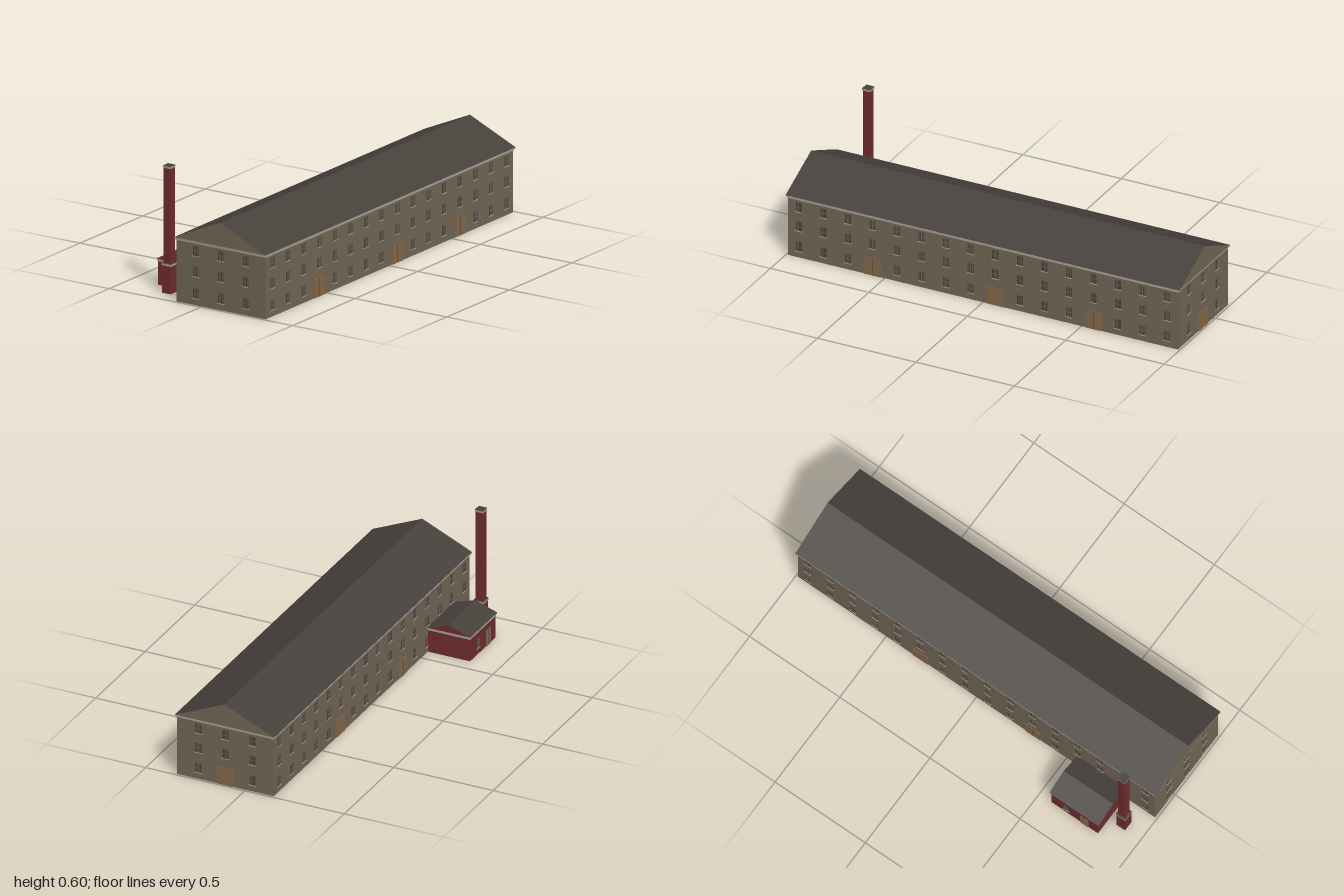
import * as THREE from 'three';
import { mergeGeometries } from 'three/addons/utils/BufferGeometryUtils.js';

const mat = (name, color, side = THREE.FrontSide) => {
  const m = new THREE.MeshStandardMaterial({ color, side });
  m.name = name;
  return m;
};

const box = (w, h, d, x, y, z) => new THREE.BoxGeometry(w, h, d).translate(x, y, z);

// Open-bottomed shell of four thin walls
function wallShell(x0, x1, z0, z1, h) {
  const w = x1 - x0, d = z1 - z0, cx = (x0 + x1) / 2, cz = (z0 + z1) / 2;
  return mergeGeometries([
    new THREE.PlaneGeometry(w, h).translate(cx, h / 2, z1),
    new THREE.PlaneGeometry(w, h).rotateY(Math.PI).translate(cx, h / 2, z0),
    new THREE.PlaneGeometry(d, h).rotateY(Math.PI / 2).translate(x1, h / 2, cz),
    new THREE.PlaneGeometry(d, h).rotateY(-Math.PI / 2).translate(x0, h / 2, cz),
  ]);
}

// Rectangular ring around the walls, pushed out by "out"
function cornice(x0, x1, z0, z1, y0, y1, out) {
  const rect = (C, o) => new C([[x0 - o, -z1 - o], [x1 + o, -z1 - o], [x1 + o, -z0 + o], [x0 - o, -z0 + o]]
    .map(([x, y]) => new THREE.Vector2(x, y)));
  const shape = rect(THREE.Shape, out);
  shape.holes.push(rect(THREE.Path, -0.0005));
  return new THREE.ExtrudeGeometry(shape, { depth: y1 - y0, bevelEnabled: false })
    .rotateX(-Math.PI / 2).translate(0, y0, 0);
}

// Two sloping roof planes
function roofPlanes(x0, x1, z0, z1, eave, ridge) {
  const half = (x1 - x0) / 2, rise = ridge - eave, len = Math.hypot(half, rise), a = Math.atan2(rise, half);
  const slope = (s) => new THREE.PlaneGeometry(len, z1 - z0).rotateX(-Math.PI / 2).rotateZ(-s * a)
    .translate((x0 + x1) / 2 + s * half / 2, (eave + ridge) / 2, (z0 + z1) / 2);
  return mergeGeometries([slope(1), slope(-1)]);
}

// Triangular gables at both ends
function gables(x0, x1, z0, z1, eave, ridge) {
  const tri = () => new THREE.ShapeGeometry(new THREE.Shape([
    new THREE.Vector2(x0, eave), new THREE.Vector2(x1, eave), new THREE.Vector2((x0 + x1) / 2, ridge)]));
  const cx = (x0 + x1) / 2;
  return mergeGeometries([
    tri().translate(0, 0, z1),
    tri().translate(-cx, 0, 0).rotateY(Math.PI).translate(cx, 0, z0),
  ]);
}

export function createModel() {
  const model = new THREE.Group();
  model.name = 'mill';
  const D = THREE.DoubleSide;
  const stone = mat('stone wall', 0x736756, D);
  const brick = mat('red brick', 0x702c2e, D);
  const slate = mat('dark slate', 0x47413c, D);
  const trim = mat('pale trim', 0xa39d90);
  const glass = mat('window glass', 0x48443d);
  const wood = mat('door wood', 0x86694a);
  const add = (name, geo, material, parent = model) => {
    const m = new THREE.Mesh(geo, material);
    m.name = name;
    parent.add(m);
    return m;
  };

  // Windows and doors, gathered by kind and placed on a wall
  const parts = { panes: [], bars: [], sills: [], doors: [], seams: [] };
  const put = (kind, geo, x, y, z, turn) => parts[kind].push(geo.rotateY(turn).translate(x, y, z));
  const windowAt = (x, y, z, turn) => {
    put('panes', box(0.03, 0.047, 0.02, 0, 0.0265, -0.0085), x, y, z, turn);
    put('bars', box(0.0035, 0.047, 0.001, 0, 0.0265, 0.002), x, y, z, turn);
    put('bars', box(0.03, 0.002, 0.001, 0, 0.0265, 0.002), x, y, z, turn);
    for (const s of [-1, 1]) put('bars', box(0.0015, 0.047, 0.001, s * 0.0085, 0.0265, 0.002), x, y, z, turn);
    put('sills', box(0.036, 0.0035, 0.005, 0, 0.0015, 0.0015), x, y, z, turn);
  };
  const doorAt = (x, z, turn, w = 0.084, h = 0.087) => {
    put('doors', box(w, h, 0.006, 0, h / 2, 0), x, 0, z, turn);
    put('seams', box(0.0012, h, 0.0005, 0, h / 2, 0.0031), x, 0, z, turn);
  };

  // Main hall
  const X0 = -0.14, X1 = 0.346, Z = 0.99, MID = 0.103;
  const hall = new THREE.Group();
  hall.name = 'mainHall';
  model.add(hall);
  add('hallWalls', wallShell(X0, X1, -Z, Z, 0.3), stone, hall);
  add('hallLowerCornice', cornice(X0, X1, -Z, Z, 0.291, 0.295, 0.003), trim, hall);
  add('hallUpperCornice', cornice(X0, X1, -Z, Z, 0.299, 0.304, 0.008), trim, hall);
  add('hallGables', gables(X0 - 0.007, X1 + 0.007, -0.998, 0.998, 0.304, 0.414), stone, hall);
  add('hallRoof', roofPlanes(X0 - 0.007, X1 + 0.007, -1, 1, 0.3045, 0.415), slate, hall);

  const rows = [0.029, 0.132, 0.229];
  const eastDoors = [3, 8, 12], westDoors = [5, 10];
  rows.forEach((y, r) => {
    // Long sides
    for (let i = 0; i < 16; i++) {
      const z = 0.935 - i * 0.12467;
      if (r === 0 && eastDoors.includes(i)) doorAt(X1, z, Math.PI / 2);
      else windowAt(X1, y, z, Math.PI / 2);
      if (r === 0 && westDoors.includes(i)) doorAt(X0, z, -Math.PI / 2);
      else windowAt(X0, y, z, -Math.PI / 2);
    }
    // Ends
    for (const k of [-1, 0, 1]) {
      const x = MID + k * 0.1365;
      windowAt(x, y, Z, 0);
      if (r === 0 && k === 0) doorAt(x, -Z, Math.PI);
      else windowAt(x, y, -Z, Math.PI);
    }
  });

  // Boiler house
  const A0 = -0.352, A1 = -0.14, B0 = 0.568, B1 = 0.825;
  const house = new THREE.Group();
  house.name = 'boilerHouse';
  model.add(house);
  add('boilerWalls', wallShell(A0, A1, B0, B1, 0.122), brick, house);
  add('boilerLowerCornice', cornice(A0, A1, B0, B1, 0.11, 0.117, 0.002), trim, house);
  add('boilerUpperCornice', cornice(A0, A1, B0, B1, 0.12, 0.1245, 0.005), trim, house);
  add('boilerGables', gables(A0 - 0.005, A1 + 0.005, B0 - 0.006, B1 + 0.006, 0.1245, 0.161), brick, house);
  add('boilerRoof', roofPlanes(A0 - 0.005, A1 + 0.005, B0 - 0.008, B1 + 0.008, 0.125, 0.162), slate, house);
  windowAt(A0, 0.029, 0.65, -Math.PI / 2);
  doorAt(A0, 0.75, -Math.PI / 2, 0.045, 0.08);
  add('doorLamp', box(0.006, 0.008, 0.008, A0 - 0.002, 0.092, 0.75), slate, house);

  // Chimney
  const chimney = new THREE.Group();
  chimney.name = 'chimney';
  chimney.position.set(-0.2455, 0, 0.892);
  model.add(chimney);
  add('chimneyBase', wallShell(-0.024, 0.024, -0.024, 0.024, 0.131), brick, chimney);
  add('chimneyBaseCap', box(0.052, 0.01, 0.052, 0, 0.135, 0), trim, chimney);
  add('chimneyBaseTop', box(0.052, 0.001, 0.052, 0, 0.1405, 0), slate, chimney);
  add('chimneyShaft', box(0.036, 0.45, 0.036, 0, 0.365, 0), brick, chimney);
  add('chimneyCap', box(0.041, 0.01, 0.041, 0, 0.594, 0), trim, chimney);
  add('chimneyTop', box(0.041, 0.001, 0.041, 0, 0.5995, 0), slate, chimney);

  add('windowPanes', mergeGeometries(parts.panes), glass);
  add('windowBars', mergeGeometries(parts.bars), stone);
  add('windowSills', mergeGeometries(parts.sills), trim);
  add('doors', mergeGeometries(parts.doors), wood);
  add('doorSeams', mergeGeometries(parts.seams), slate);
  return model;
}
